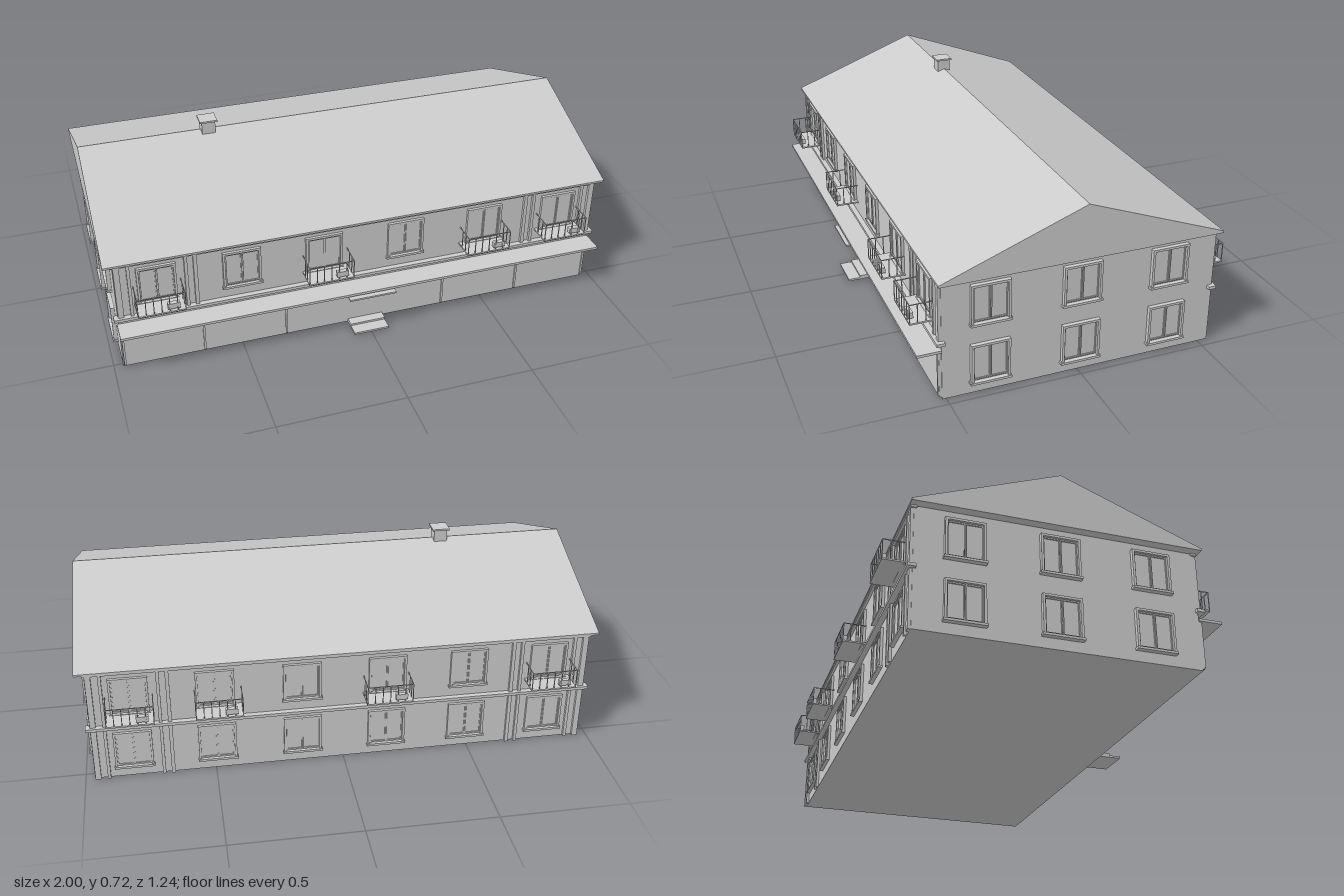
import * as THREE from 'three';

const grey = new THREE.MeshStandardMaterial({ color: 0xcccccc });
grey.name = 'plain grey';

// Box given by its min and max corners
function box(parent, name, x0, x1, y0, y1, z0, z1) {
  const mesh = new THREE.Mesh(new THREE.BoxGeometry(x1 - x0, y1 - y0, z1 - z0), grey);
  mesh.position.set((x0 + x1) / 2, (y0 + y1) / 2, (z0 + z1) / 2);
  mesh.name = name;
  parent.add(mesh);
  return mesh;
}

function group(parent, name) {
  const g = new THREE.Group();
  g.name = name;
  parent.add(g);
  return g;
}

// Two-pane window standing on a wall plane at z = 0, centred on x
function addWindow(parent, x, y, out) {
  const w = group(parent, 'window');
  w.position.set(x, y, 0);
  const h = 0.155, r = 0.073, t = 0.009;
  box(w, 'glass', -r, r, 0, h, -0.002, 0.003);
  for (const s of [-1, 1]) {
    box(w, 'jamb', s * (r - t / 2) - t / 2, s * (r - t / 2) + t / 2, 0, h, 0, out);
    // casement of each pane
    const c = s * 0.032;
    for (const e of [-1, 1]) box(w, 'sash', c + e * 0.029 - 0.002, c + e * 0.029 + 0.002, t, h - t, 0, 0.007);
    box(w, 'sashTop', c - 0.03, c + 0.03, h - t - 0.005, h - t, 0, 0.007);
    box(w, 'sashBottom', c - 0.03, c + 0.03, t, t + 0.005, 0, 0.007);
  }
  box(w, 'lintel', -r, r, h - t, h, 0, out);
  box(w, 'sill', -r - 0.004, r + 0.004, -0.004, 0.005, 0, out + 0.004);
}

// Balcony with a thin railing and a flower box
function addBalcony(parent, x) {
  const b = group(parent, 'balcony');
  b.position.set(x, 0.28, 0);
  const r = 0.089, d = 0.09, top = 0.08, t = 0.0015;
  box(b, 'slab', -r, r, 0, 0.006, 0, d);
  box(b, 'frontRail', -r, r, top - 0.003, top, d - 0.003, d);
  for (let i = 0; i <= 6; i++) {
    const px = -r + t + (i * 2 * (r - t)) / 6;
    box(b, 'baluster', px - t, px + t, 0.006, top, d - 0.003, d);
  }
  for (const s of [-1, 1]) {
    const px = s * (r - t);
    box(b, 'sideRail', px - t, px + t, top - 0.003, top, 0, d);
    for (const pz of [0.03, 0.06]) box(b, 'baluster', px - t, px + t, 0.006, top, pz - t, pz + t);
  }
  box(b, 'flowerBox', 0.022, 0.068, 0.014, 0.036, d - 0.021, d - 0.003);
}

// Long facade: windows, balconies, pilasters and string courses
function addFacade(parent, name, balconies, lowerFloor) {
  const f = group(parent, name);
  for (const x of [-0.81, -0.49, -0.17, 0.16, 0.49, 0.81]) {
    const wx = lowerFloor ? -x : x;
    addWindow(f, wx, 0.283, 0.011);
    if (lowerFloor) addWindow(f, wx, 0.045, 0.011);
  }
  balconies.forEach((x) => addBalcony(f, x));
  for (const s of [-1, 1]) {
    for (const [x, w] of [[0.952, 0.022], [0.91, 0.012], [0.7, 0.012], [0.665, 0.014]]) {
      box(f, 'pilaster', s * x - w / 2, s * x + w / 2, 0.235, 0.46, 0, 0.011);
      if (lowerFloor) box(f, 'pilaster', s * x - w / 2, s * x + w / 2, 0, 0.225, 0, 0.011);
    }
  }
  box(f, 'stringCourse', -0.98, 0.98, 0.224, 0.236, -0.01, 0.021);
  box(f, 'cornice', -0.97, 0.97, 0.458, 0.47, -0.01, 0.012);
  return f;
}

export function createModel() {
  const house = new THREE.Group();
  house.name = 'apartmentHouse';
  const front = 0.515, back = -0.53, side = 0.965;

  box(house, 'walls', -side, side, 0, 0.472, back, front);

  // Gabled roof as a solid prism along x
  const profile = new THREE.Shape();
  [[-0.534, 0.466], [0.546, 0.466], [0.546, 0.474], [0.005, 0.677], [-0.534, 0.474]]
    .forEach(([x, y], i) => (i ? profile.lineTo(x, y) : profile.moveTo(x, y)));
  const roof = new THREE.Mesh(new THREE.ExtrudeGeometry(profile, { depth: 2, bevelEnabled: false }), grey);
  roof.rotation.y = Math.PI / 2;
  roof.position.x = -1;
  roof.name = 'roof';
  house.add(roof);

  const chimney = group(house, 'chimney');
  box(chimney, 'shaft', -0.517, -0.463, 0.64, 0.717, -0.03, 0.023);
  box(chimney, 'cap', -0.525, -0.455, 0.717, 0.724, -0.037, 0.03);

  // Front and back facades
  const f = addFacade(house, 'frontFacade', [-0.81, -0.165, 0.48, 0.81], false);
  f.position.z = front;
  const b = addFacade(house, 'backFacade', [0.81, 0.165, -0.48, -0.81], true);
  b.position.z = back;
  b.rotation.y = Math.PI;

  // End walls, three windows on each floor
  for (const s of [-1, 1]) {
    const end = group(house, s > 0 ? 'leftEndWall' : 'rightEndWall');
    end.position.set(s * side, 0, -0.006);
    end.rotation.y = (s * Math.PI) / 2;
    for (const z of [-0.344, 0, 0.344]) for (const y of [0.045, 0.281]) addWindow(end, z, y, 0.016);
  }

  // Shop front with glazing panels, awning and entrance
  const shop = group(house, 'shopFront');
  box(shop, 'panels', -0.962, 0.962, 0.008, 0.195, front, 0.524);
  for (const x of [-0.957, -0.65, -0.325, 0.325, 0.65, 0.957]) {
    box(shop, 'mullion', x - 0.004, x + 0.004, 0.015, 0.195, front, 0.529);
  }
  for (let i = 0; i < 6; i++) {
    const x = -0.97 + (i * 1.94) / 6;
    box(shop, 'awning', x, x + 1.94 / 6, 0.192, 0.202, front, 0.605);
  }
  box(shop, 'doorCanopy', -0.095, 0.093, 0.178, 0.185, front, 0.617);
  for (const x of [-0.05, 0.045]) {
    const lamp = new THREE.Mesh(new THREE.ConeGeometry(0.008, 0.02, 8), grey);
    lamp.position.set(x, 0.15, 0.53);
    lamp.name = 'lamp';
    shop.add(lamp);
  }
  box(shop, 'lowerStep', -0.072, 0.07, 0.004, 0.012, 0.5, 0.608);
  box(shop, 'upperStep', -0.072, 0.07, 0.012, 0.02, 0.5, 0.56);

  return house;
}
